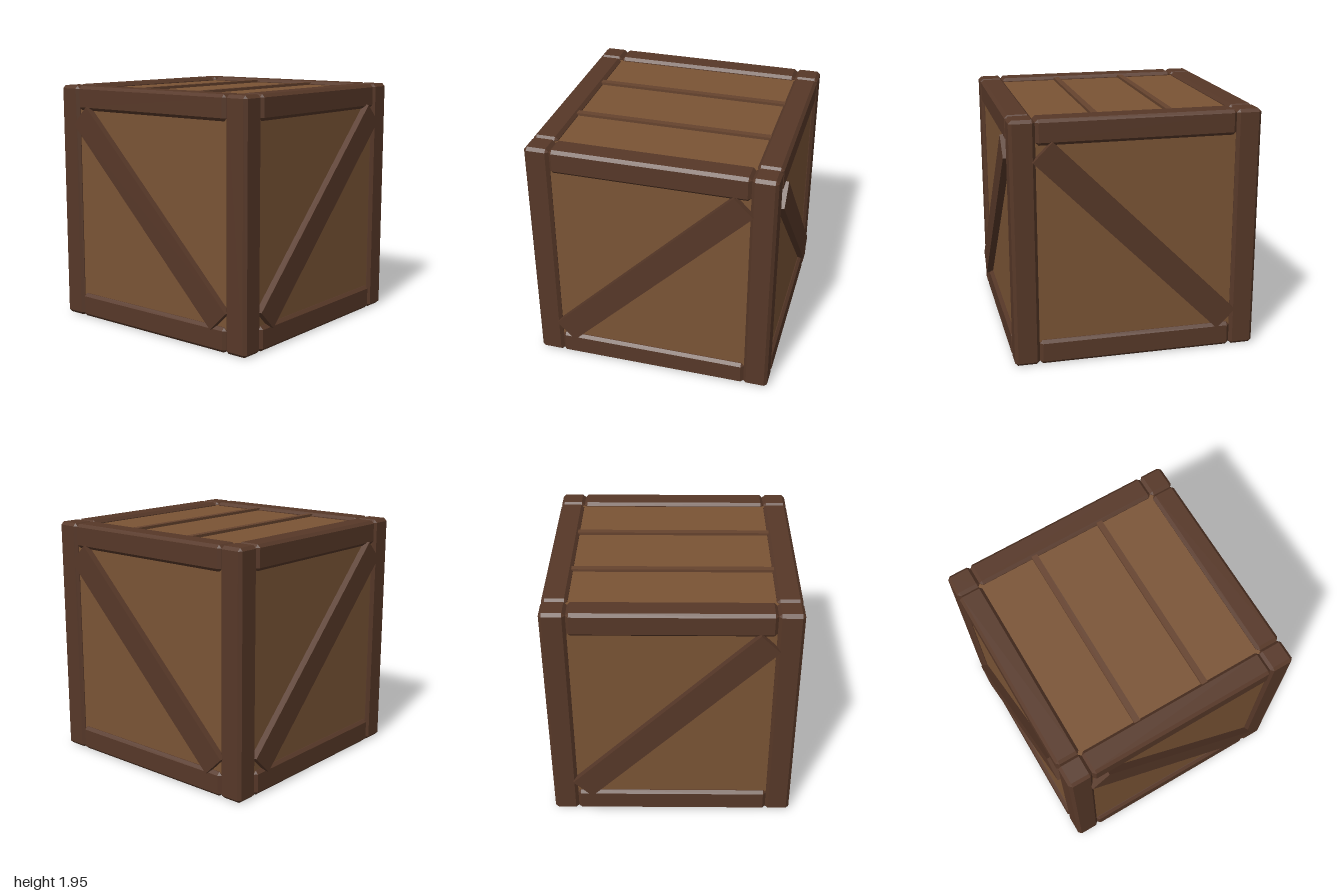
import * as THREE from 'three';
import { ConvexGeometry } from 'three/addons/geometries/ConvexGeometry.js';

const BEAM = 0.197;              // square section of posts and rails
const HALF = 0.975;              // half size of the frame, also its mid height
const OFF = HALF - BEAM / 2;     // distance of beam centres from the axis
const CHAMFER = 0.024;
const PANEL = 0.945;             // half size of the panelled body

// Box with every edge and corner cut flat
function chamferedBox(w, h, d, c = CHAMFER) {
  const points = [];
  const [x, y, z] = [w / 2, h / 2, d / 2];
  for (const sx of [-1, 1]) for (const sy of [-1, 1]) for (const sz of [-1, 1]) {
    points.push(
      new THREE.Vector3(sx * x, sy * (y - c), sz * (z - c)),
      new THREE.Vector3(sx * (x - c), sy * y, sz * (z - c)),
      new THREE.Vector3(sx * (x - c), sy * (y - c), sz * z));
  }
  return new ConvexGeometry(points);
}

export function createModel() {
  const crate = new THREE.Group();
  crate.name = 'crate';

  const frameMat = new THREE.MeshStandardMaterial({ color: 0x573828, flatShading: true });
  const panelMat = new THREE.MeshStandardMaterial({ color: 0x7a5435, flatShading: true });
  const battenMat = new THREE.MeshStandardMaterial({ color: 0x66432e, flatShading: true });

  function add(parent, name, geometry, material, x, y, z) {
    const mesh = new THREE.Mesh(geometry, material);
    mesh.name = name;
    mesh.position.set(x, y, z);
    parent.add(mesh);
    return mesh;
  }

  // Panelled body, set just behind the chamfers of the frame
  add(crate, 'panels', new THREE.BoxGeometry(2 * PANEL, 2 * PANEL, 2 * PANEL), panelMat, 0, HALF, 0);

  // Two thin battens dividing the lid
  const batten = new THREE.BoxGeometry(0.05, 0.04, 1.58);
  for (const s of [-1, 1]) add(crate, 'lidBatten', batten, battenMat, s * 0.295, 1.922, 0);

  // One side: corner post, top and bottom rails, diagonal brace; turned four times
  const post = chamferedBox(BEAM, 2 * HALF, BEAM);
  const rail = chamferedBox(2 * (HALF - BEAM), BEAM, BEAM);
  const brace = new THREE.BoxGeometry(2.07, 0.212, 0.07);
  for (let i = 0; i < 4; i++) {
    const side = new THREE.Group();
    side.name = ['frontSide', 'leftSide', 'backSide', 'rightSide'][i];
    side.rotation.y = i * Math.PI / 2;
    add(side, 'cornerPost', post, frameMat, -OFF, HALF, OFF);
    add(side, 'bottomRail', rail, frameMat, 0, HALF - OFF, OFF);
    add(side, 'topRail', rail, frameMat, 0, HALF + OFF, OFF);
    // Braces on neighbouring sides lean opposite ways
    const diagonal = add(side, 'diagonalBrace', brace, frameMat, 0, 0.978, 0.965);
    diagonal.rotation.z = (i % 2 ? 1 : -1) * Math.PI / 4;
    crate.add(side);
  }
  return crate;
}
